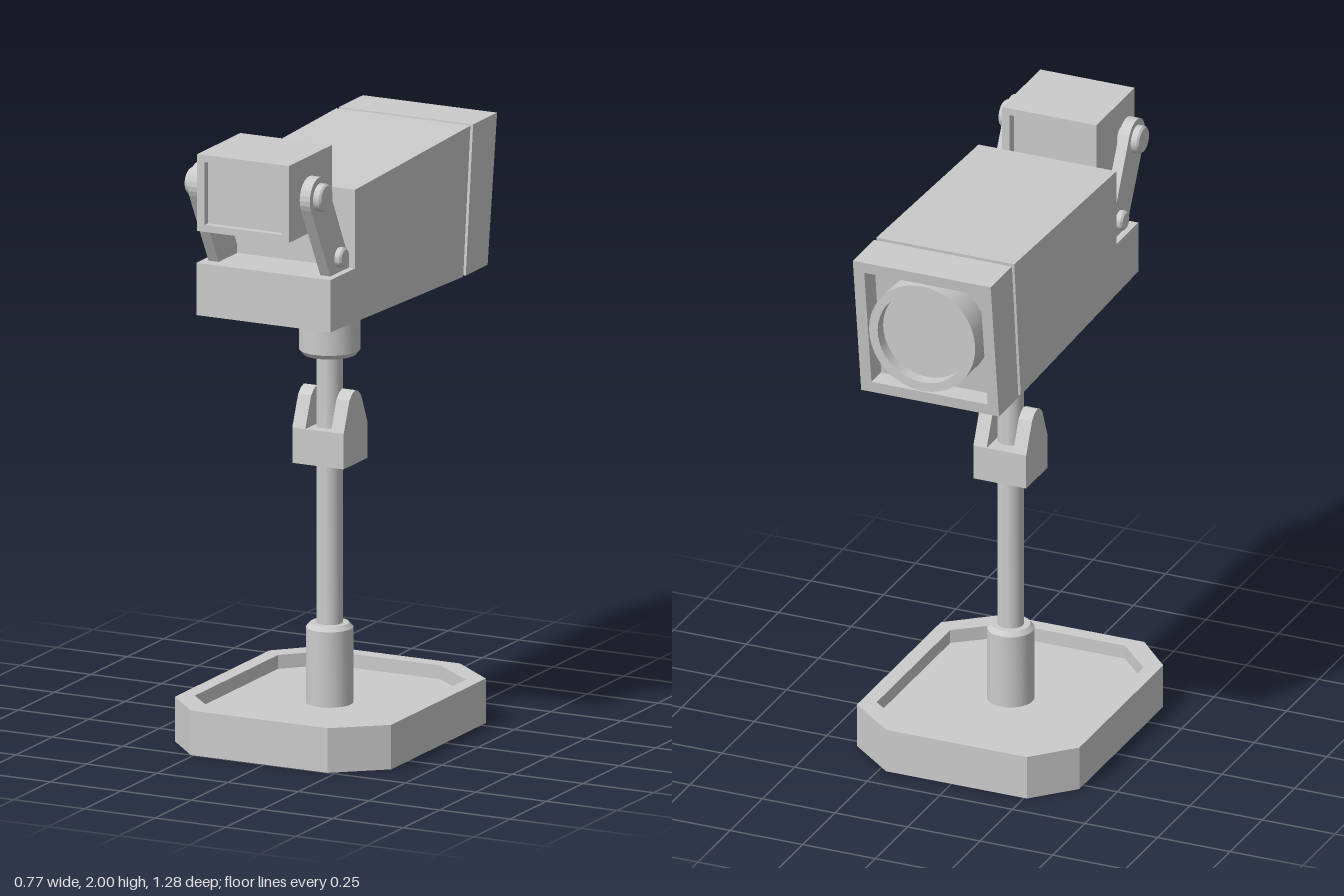
import * as THREE from 'three';
import { toCreasedNormals } from 'three/addons/utils/BufferGeometryUtils.js';

const material = new THREE.MeshStandardMaterial({ color: 0xcccccc });
const toVectors = (pts) => pts.map(([a, b]) => new THREE.Vector2(a, b));

function add(parent, name, geometry, x = 0, y = 0, z = 0) {
  const mesh = new THREE.Mesh(geometry, material);
  mesh.name = name;
  mesh.position.set(x, y, z);
  parent.add(mesh);
  return mesh;
}

// Shape with optional hole, extruded by depth along z
function extrude(outline, depth, hole) {
  const shape = new THREE.Shape(toVectors(outline));
  if (hole) shape.holes.push(new THREE.Path(toVectors(hole)));
  return new THREE.ExtrudeGeometry(shape, { depth, bevelEnabled: false });
}

// Side profile of [z, y] points, extruded across x and centred
const sideProfile = (pts, width) =>
  extrude(pts, width).translate(0, 0, -width / 2).rotateY(-Math.PI / 2);

// Plan outline of [x, z] points between two heights
const planSlab = (pts, bottom, top, hole) =>
  extrude(pts, top - bottom, hole).rotateX(Math.PI / 2).translate(0, top, 0);

// Turned part from [radius, height] points, with sharp edges kept
const turned = (pts, sides = 32) =>
  toCreasedNormals(new THREE.LatheGeometry(toVectors(pts), sides), 0.5);

const rect = (x, y0, y1) => [[-x, y0], [x, y0], [x, y1], [-x, y1]];

function addStand(model) {
  const stand = new THREE.Group();
  stand.name = 'stand';
  model.add(stand);

  // Tray-like base with cut corners
  const outer = [[-0.26, -0.41], [0.225, -0.41], [0.383, -0.28], [0.383, 0.37],
    [0.225, 0.5], [-0.26, 0.5], [-0.383, 0.37], [-0.383, -0.28]];
  const inner = [[-0.215, -0.36], [0.18, -0.36], [0.333, -0.24], [0.333, 0.33],
    [0.18, 0.45], [-0.215, 0.45], [-0.333, 0.33], [-0.333, -0.24]];
  add(stand, 'baseRim', planSlab(outer, 0, 0.145, inner));
  add(stand, 'baseFloor', planSlab(inner, 0.004, 0.1));

  // Pole and its collar
  const z = 0.05;
  add(stand, 'poleCollar', turned([[0.075, 0.09], [0.075, 0.345], [0.062, 0.36], [0, 0.36]]), 0, 0, z);
  add(stand, 'lowerPole', turned([[0.042, 0.3], [0.042, 0.9]]), 0, 0, z);

  // Forked joint
  const fork = [[-0.035, 1], [0.13, 1], [0.09, 1.1], [0.07, 1.118], [0.05, 1.125], [0.03, 1.118], [0.01, 1.1]];
  add(stand, 'jointBlock', new THREE.BoxGeometry(0.182, 0.115, 0.165), 0, 0.9425, 0.0475);
  for (const side of [-1, 1]) add(stand, 'jointProng', sideProfile(fork, 0.046), side * 0.068);

  // Upper rod and socket under the camera
  add(stand, 'upperRod', turned([[0, 1], [0.042, 1], [0.042, 1.26]]), 0, 0, z);
  add(stand, 'socket', turned([[0, 1.235], [0.085, 1.235], [0.097, 1.25], [0.097, 1.44]]), 0, 0, z);
}

function addCamera(model) {
  const camera = new THREE.Group();
  camera.name = 'camera';
  model.add(camera);

  // Housing with a low ledge at one end, and the recessed seam
  add(camera, 'housing', sideProfile([[0.505, 1.435], [0.505, 1.605], [0.335, 1.605],
    [0.335, 1.86], [-0.457, 1.885], [-0.407, 1.405]], 0.475));
  add(camera, 'seam', sideProfile([[-0.3, 1.42], [-0.3, 1.868], [-0.5, 1.868], [-0.455, 1.42]], 0.445));

  // Slanted hood: a frame whose two ends lean with height
  const hood = extrude(rect(0.2375, 1.405, 1.885), 1, rect(0.2, 1.442, 1.848));
  const p = hood.attributes.position;
  for (let i = 0; i < p.count; i++) {
    const t = (p.getY(i) - 1.405) / 0.48;
    p.setZ(i, p.getZ(i) > 0.5 ? -0.425 - 0.05 * t : -0.575 - 0.065 * t);
  }
  hood.computeVertexNormals();
  add(camera, 'hood', hood);
  add(camera, 'hoodBack', sideProfile([[-0.427, 1.41], [-0.476, 1.88], [-0.56, 1.88], [-0.5, 1.41]], 0.44));

  // Lens barrel and glass
  const barrel = turned([[0.183, 0.45], [0.183, 0.637], [0.153, 0.637], [0.153, 0.585]], 40);
  add(camera, 'lensBarrel', barrel.rotateX(-Math.PI / 2), 0, 1.658);
  const glass = turned([[0.155, 0.595], [0, 0.595]], 40);
  add(camera, 'lensGlass', glass.rotateX(-Math.PI / 2), 0, 1.658);
}

function addViewfinder(model) {
  const finder = new THREE.Group();
  finder.name = 'viewfinder';
  model.add(finder);

  // Open box with a recessed panel at each end
  const frame = extrude(rect(0.1625, 1.75, 2), 0.297, rect(0.136, 1.773, 1.977));
  add(finder, 'finderFrame', frame, 0, 0, 0.348);
  add(finder, 'finderPanels', new THREE.BoxGeometry(0.28, 0.21, 0.24), 0, 1.875, 0.503);

  // Arm outline: round at the top, cut flat where it meets the ledge
  const arm = [[0.338, 1.603], [0.462, 1.603]];
  const start = -Math.PI / 6;
  for (let i = 0; i <= 12; i++) {
    const a = start + (Math.PI * i) / 12;
    arm.push([0.54 + 0.065 * Math.cos(a), 1.88 + 0.065 * Math.sin(a)]);
  }
  arm.push([0.335, 1.63]);

  // Pivot with a bevelled head, pointing outward along x
  const knob = (r, from, to) => turned(
    [[0, from], [r, from], [r, to - 0.006], [r - 0.006, to], [0, to]], 24).rotateZ(-Math.PI / 2);

  for (const side of [-1, 1]) {
    const support = new THREE.Group();
    support.name = side > 0 ? 'leftSupport' : 'rightSupport';
    finder.add(support);
    add(support, 'arm', sideProfile(arm, 0.036), side * 0.198);
    const knobs = [
      add(support, 'upperKnob', knob(0.045, 0.205, 0.242), 0, 1.88, 0.538),
      add(support, 'lowerKnob', knob(0.032, 0.205, 0.239), 0, 1.655, 0.405),
      add(support, 'upperPin', knob(0.03, 0.15, 0.21), 0, 1.88, 0.538),
    ];
    if (side < 0) for (const k of knobs) k.rotation.y = Math.PI;
  }
}

export function createModel() {
  const model = new THREE.Group();
  model.name = 'cameraOnStand';
  addStand(model);
  addCamera(model);
  addViewfinder(model);
  return model;
}
